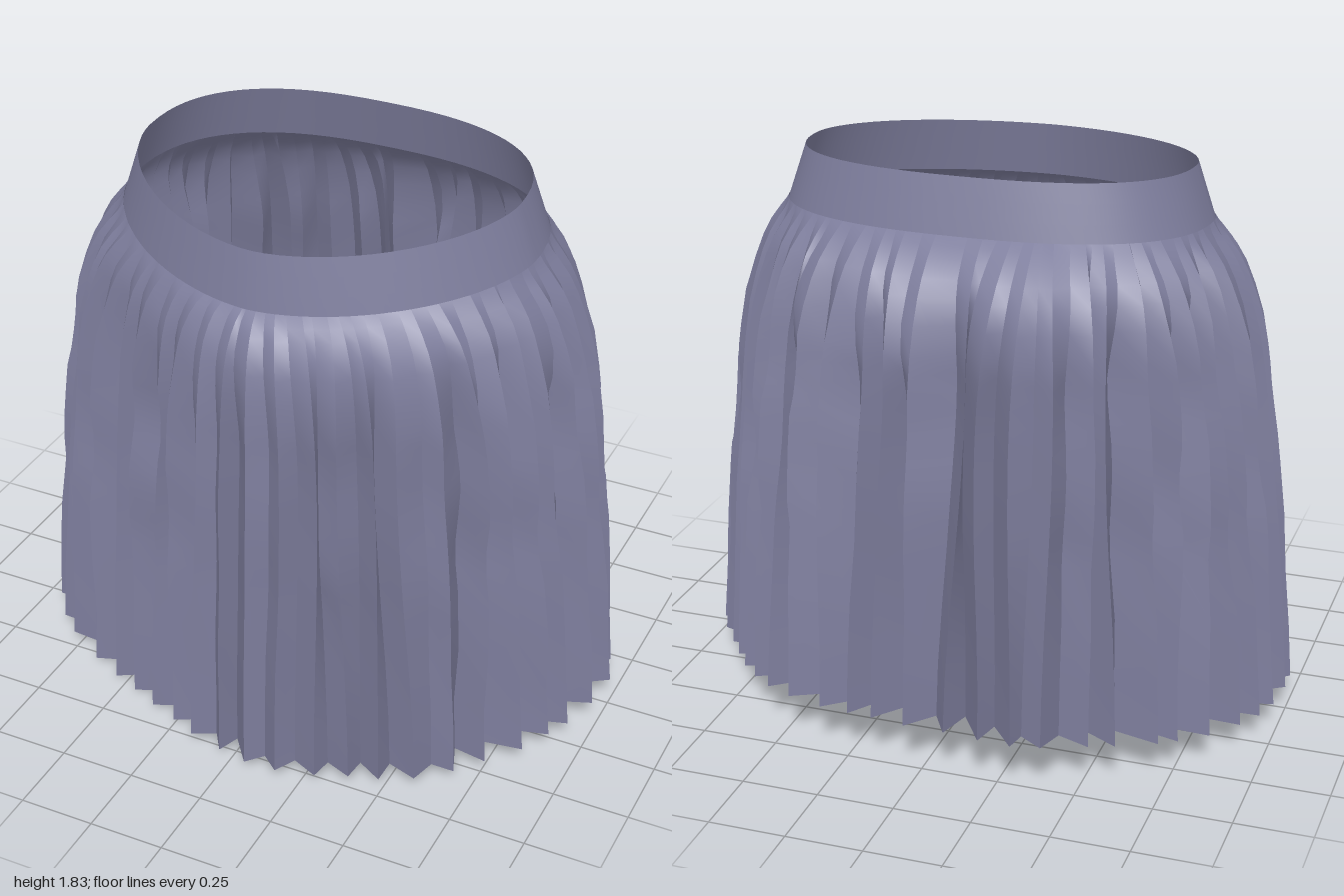
import * as THREE from 'three';

const PLEATS = 50;
const fabric = new THREE.MeshStandardMaterial({ color: 0x7d7d9c, side: THREE.DoubleSide });
fabric.name = 'slate lavender cloth';

// small seeded generator for the uneven folds
function seeded(seed) {
  return () => {
    seed = (seed * 16807) % 2147483647;
    return seed / 2147483647;
  };
}

// egg-shaped waist outline: flatter at the back, pointed at the front
function waistPoint(t, halfWidth, front, back) {
  const c = Math.cos(t), s = Math.sin(t);
  const p = s < 0 ? 0.82 : 1.15;
  const x = halfWidth * Math.sign(c) * Math.abs(c) ** p;
  const z = 0.05 + Math.sign(s) * Math.abs(s) ** p * (s > 0 ? front - 0.05 : 0.05 - back);
  return [x, z];
}

// the waist tilts down gently, more steeply towards the front
const seamHeight = (z) => 1.632 - 0.045 * z - 0.09 * Math.max(z, 0) ** 2;
const rimHeight = (z) => 1.806 - 0.053 * z - 0.08 * Math.max(z, 0) ** 2;

// hem rises at the back and dips at the front right corner
function hemHeight(x, z) {
  const base = z > 0 ? 0.08 - 0.06 * z : 0.08 + 0.14 * z * z;
  const dip = z > 0 ? 0.045 * Math.exp(-(((x + 0.5) / 0.36) ** 2) - ((z - 0.58) / 0.3) ** 2) : 0;
  return base - dip;
}

// skins neighbouring columns; separate vertices per panel keep each fold sharp
function panels(columns, sharp) {
  const pos = [], index = [];
  const rows = columns[0].length;
  const n = columns.length;
  const link = (a, b) => {
    for (let j = 0; j < rows - 1; j++) index.push(a + j, b + j, a + j + 1, b + j, b + j + 1, a + j + 1);
  };
  for (let i = 0; i < n; i++) {
    const base = pos.length / 3;
    columns[i].forEach((p) => pos.push(...p));
    if (sharp) {
      columns[(i + 1) % n].forEach((p) => pos.push(...p));
      link(base, base + rows);
    } else {
      link(base, ((i + 1) % n) * rows);
    }
  }
  const geometry = new THREE.BufferGeometry();
  geometry.setAttribute('position', new THREE.Float32BufferAttribute(pos, 3));
  geometry.setIndex(index);
  geometry.computeVertexNormals();
  return geometry;
}

function makeWaistband() {
  const columns = [];
  for (let i = 0; i < 72; i++) {
    const t = (i / 72) * Math.PI * 2;
    const column = [];
    for (let j = 0; j <= 3; j++) {
      const k = j / 3;
      const [x, z] = waistPoint(t, 0.63 + 0.06 * k, 0.57 + 0.035 * k, -0.38 - 0.045 * k);
      column.push([x, THREE.MathUtils.lerp(rimHeight(z), seamHeight(z) - 0.005, k), z]);
    }
    columns.push(column);
  }
  const mesh = new THREE.Mesh(panels(columns, false), fabric);
  mesh.name = 'waistband';
  return mesh;
}

function makePleats() {
  const random = seeded(4127);
  // outline of the hem seen from above, from the left side round the front
  const hem = new THREE.CatmullRomCurve3([
    [1, 0], [0.95, 0.24], [0.78, 0.5], [0.6, 0.67], [0.4, 0.75], [0.15, 0.82], [-0.1, 0.79],
    [-0.3, 0.7], [-0.48, 0.61], [-0.7, 0.52], [-0.9, 0.36], [-0.98, 0.15], [-1.01, -0.02],
    [-0.94, -0.3], [-0.77, -0.54], [-0.57, -0.69], [-0.34, -0.82], [-0.1, -0.8],
    [0.15, -0.79], [0.4, -0.73], [0.62, -0.61], [0.82, -0.36], [0.96, -0.14],
  ].map(([x, z]) => new THREE.Vector3(x, 0, z)), true);

  // drop from seam to hem, and how far the cloth has flared out there
  const profile = [[0, 0], [0.015, 0.09], [0.035, 0.2], [0.065, 0.33], [0.1, 0.43], [0.15, 0.53],
    [0.21, 0.62], [0.25, 0.655], [0.29, 0.69], [0.335, 0.72], [0.38, 0.75], [0.44, 0.78],
    [0.5, 0.81], [0.56, 0.84], [0.62, 0.87], [0.75, 0.92], [0.88, 0.96], [1, 1]];

  const columns = [];
  for (let i = 0; i < PLEATS; i++) {
    const shift = (random() - 0.5) * 0.4;
    const depth = 0.05 + random() * 0.06;
    const start = random() ** 2 * 0.18;
    const sway = (random() - 0.5) * 1.3;
    const phase = random() * 6.28;
    const crumple = random() * 0.02;
    const retreat = random() * 0.012;
    const valley = 0.4 + random() * 0.3;
    for (const inner of [false, true]) {
      const column = profile.map(([v, flare]) => {
        const drift = sway * Math.sin(Math.PI * v) * (1 - v);
        const u = (i + shift * (inner ? 0.5 : 1) + drift + (inner ? valley : 0) + PLEATS) / PLEATS;
        const h = hem.getPointAt(u % 1);
        const t = Math.atan2(h.z / 0.8, h.x);
        const [wx, wz] = waistPoint(t, 0.69, 0.605, -0.425);
        // the sides flare late, the front fills out early
        const across = Math.cos(t) ** 2;
        const spread = flare ** THREE.MathUtils.lerp(h.z > 0 ? 0.72 : 0.93, 1.25, across);
        const x = THREE.MathUtils.lerp(wx, h.x, spread);
        const z = THREE.MathUtils.lerp(wz, h.z, spread);
        // fold depth grows below the seam, shallower at the front, with soft dents in the cloth
        const grow = THREE.MathUtils.smoothstep(v, start, start + 0.25);
        const shallow = 1 - 0.35 * Math.max(0, Math.sin(t));
        const dent = crumple * Math.sin(v * 17 + phase) * Math.sin(Math.PI * v);
        const fold = inner ? 0.015 * Math.min(1, v * 25) + depth * shallow * grow : 0;
        const k = 1 - Math.max(0, retreat * v + dent + fold) / Math.hypot(x, z);
        const y = THREE.MathUtils.lerp(seamHeight(wz), hemHeight(h.x, h.z), v);
        return [x * k, y, z * k];
      });
      columns.push(column);
    }
  }
  const mesh = new THREE.Mesh(panels(columns, true), fabric);
  mesh.name = 'pleatedSkirt';
  return mesh;
}

export function createModel() {
  const group = new THREE.Group();
  group.name = 'skirt';
  group.add(makeWaistband(), makePleats());
  return group;
}
